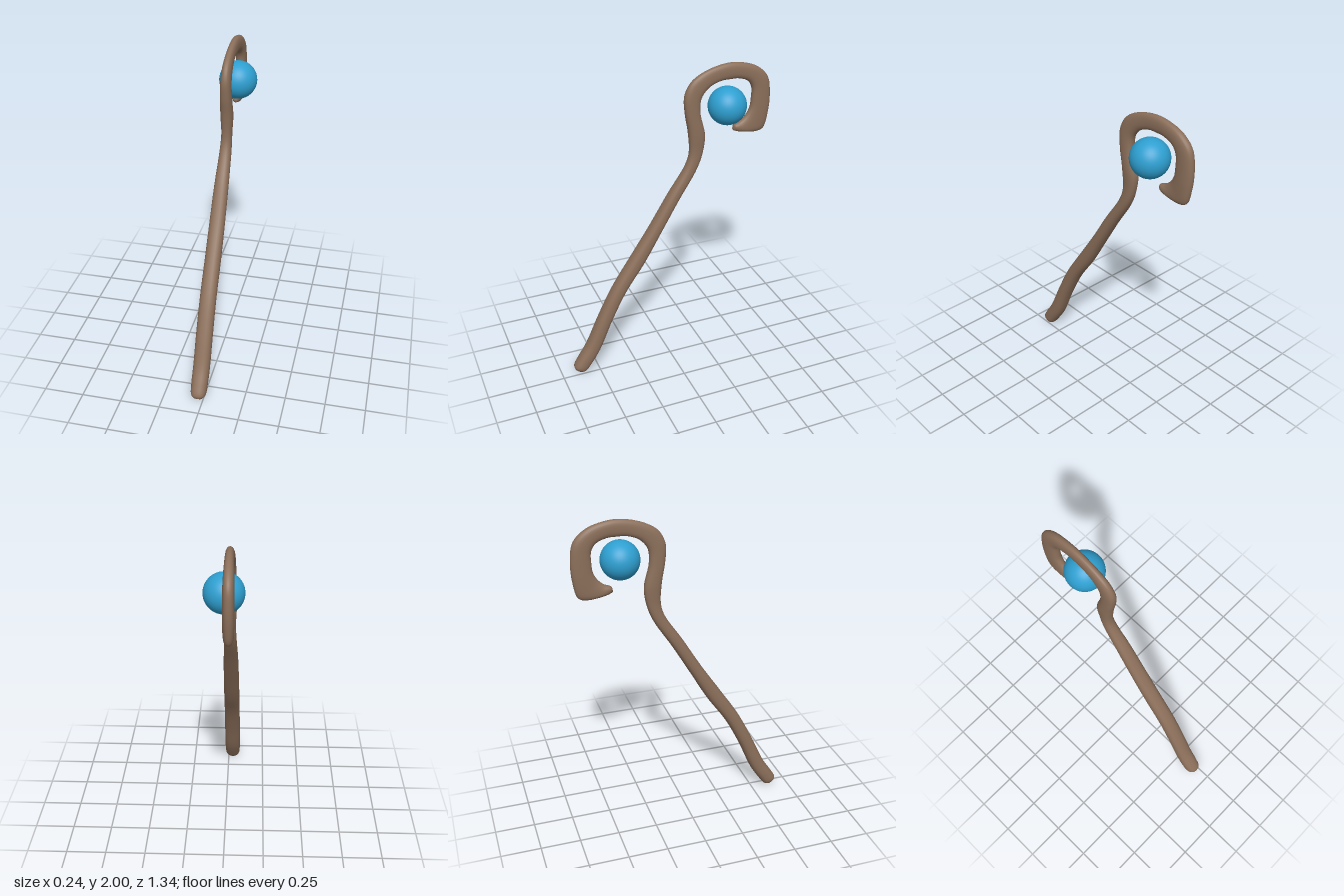
import * as THREE from 'three';

// Staff cross-sections: [outer z, outer y, inner z, inner y, half width in x]
const SECTIONS = [
  [0.665, 0.038, 0.615, 0.004, 0.025],
  [0.667, 0.06, 0.588, 0.02, 0.044],
  [0.632, 0.12, 0.55, 0.07, 0.051],
  [0.575, 0.21, 0.49, 0.165, 0.052],
  [0.487, 0.4, 0.4, 0.37, 0.052],
  [0.385, 0.6, 0.297, 0.57, 0.051],
  [0.255, 0.8, 0.167, 0.76, 0.05],
  [0.122, 1.0, 0.045, 0.97, 0.048],
  [0, 1.2, -0.066, 1.16, 0.044],
  [-0.115, 1.38, -0.19, 1.36, 0.036],
  [-0.138, 1.46, -0.228, 1.47, 0.033],
  [-0.13, 1.6, -0.238, 1.57, 0.038],
  [-0.109, 1.72, -0.205, 1.72, 0.035],
  [-0.105, 1.83, -0.213, 1.81, 0.032],
  [-0.145, 1.91, -0.265, 1.87, 0.029],
  [-0.23, 1.965, -0.34, 1.898, 0.026],
  [-0.365, 1.999, -0.4, 1.9, 0.026],
  [-0.46, 1.995, -0.45, 1.898, 0.027],
  [-0.57, 1.96, -0.515, 1.873, 0.03],
  [-0.645, 1.89, -0.543, 1.83, 0.032],
  [-0.667, 1.78, -0.545, 1.75, 0.033],
  [-0.66, 1.65, -0.537, 1.695, 0.033],
  [-0.632, 1.553, -0.51, 1.65, 0.031],
  [-0.585, 1.537, -0.475, 1.62, 0.03],
  [-0.47, 1.553, -0.435, 1.602, 0.025],
  [-0.432, 1.565, -0.427, 1.58, 0.01],
];
const STAFF_X = -0.03;

// Sweeps slightly squared ovals between the outer and inner edge curves
function sweepStaff(rings, sides) {
  const outer = new THREE.CatmullRomCurve3(SECTIONS.map(s => new THREE.Vector3(s[4], s[1], s[0])));
  const inner = new THREE.CatmullRomCurve3(SECTIONS.map(s => new THREE.Vector3(s[4], s[3], s[2])));
  const squared = v => Math.sign(v) * Math.pow(Math.abs(v), 0.85);
  const positions = [], index = [], ends = [];
  for (let j = 0; j <= rings; j++) {
    const o = outer.getPoint(j / rings), n = inner.getPoint(j / rings);
    const midY = (o.y + n.y) / 2, midZ = (o.z + n.z) / 2;
    if (j === 0 || j === rings) ends.push([STAFF_X, midY, midZ]);
    for (let i = 0; i < sides; i++) {
      const a = (i / sides) * Math.PI * 2;
      const c = squared(Math.cos(a)), s = squared(Math.sin(a));
      positions.push(STAFF_X + o.x * s, midY + (o.y - midY) * c, midZ + (o.z - midZ) * c);
    }
  }
  const id = (j, i) => j * sides + (i % sides);
  const first = (rings + 1) * sides;
  ends.forEach(e => positions.push(...e));
  for (let i = 0; i < sides; i++) {
    for (let j = 0; j < rings; j++) {
      index.push(id(j, i), id(j, i + 1), id(j + 1, i));
      index.push(id(j, i + 1), id(j + 1, i + 1), id(j + 1, i));
    }
    // Closed ends
    index.push(first, id(0, i + 1), id(0, i));
    index.push(first + 1, id(rings, i), id(rings, i + 1));
  }
  const geometry = new THREE.BufferGeometry();
  geometry.setAttribute('position', new THREE.Float32BufferAttribute(positions, 3));
  geometry.setIndex(index);
  geometry.computeVertexNormals();
  return geometry;
}

export function createModel() {
  const group = new THREE.Group();
  group.name = 'staff';

  const wood = new THREE.MeshStandardMaterial({ color: 0x8b6f5a });
  wood.name = 'brown wood';
  const blue = new THREE.MeshStandardMaterial({ color: 0x2e9fd0 });
  blue.name = 'blue orb';

  // Leaning shaft that curls into a hook
  const shaft = new THREE.Mesh(sweepStaff(150, 24), wood);
  shaft.name = 'hookedShaft';
  group.add(shaft);

  // Orb floating inside the hook
  const orb = new THREE.Mesh(new THREE.SphereGeometry(0.118, 40, 28), blue);
  orb.name = 'orb';
  orb.position.set(0, 1.747, -0.37);
  group.add(orb);

  return group;
}
